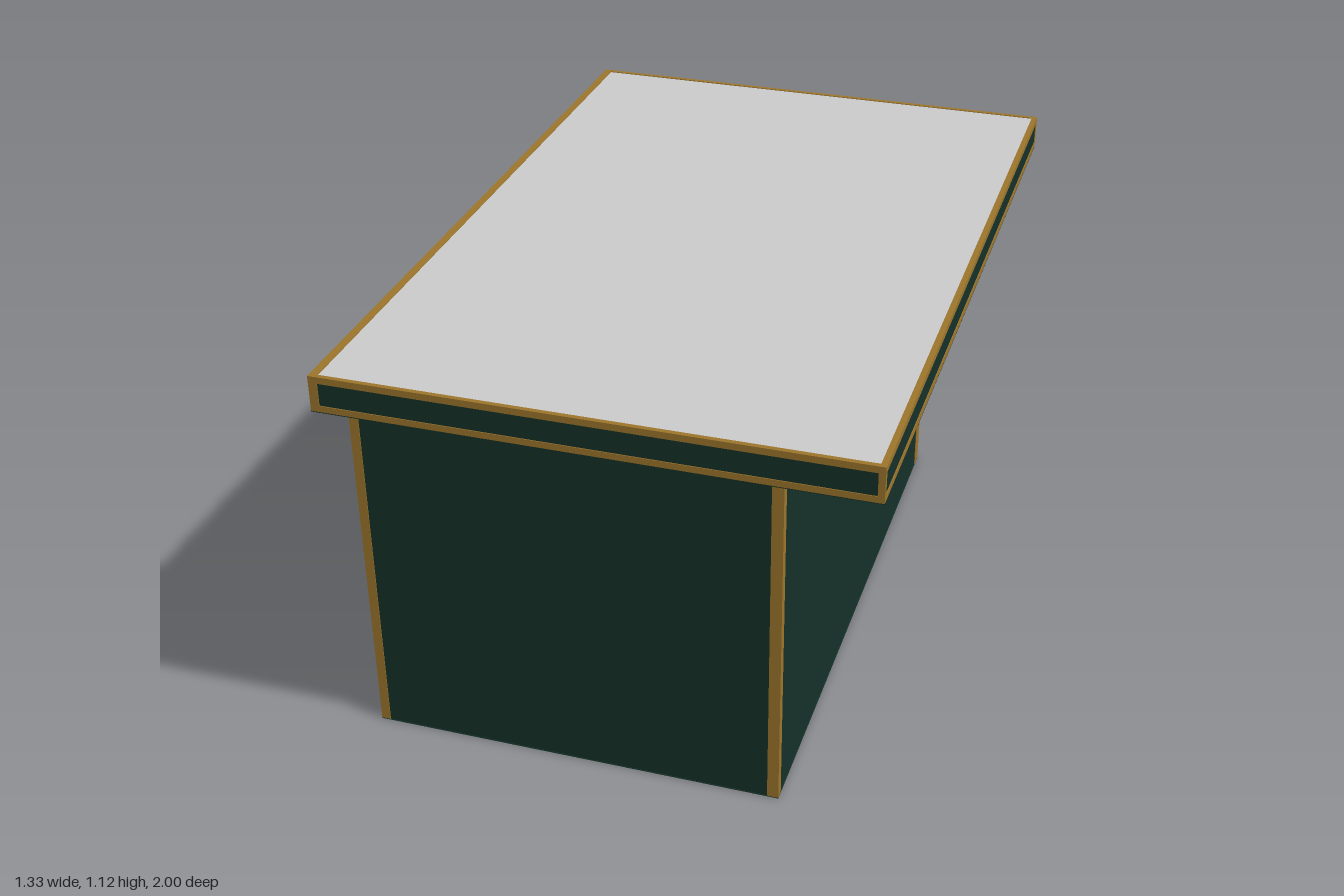
import * as THREE from 'three';

const green = new THREE.MeshStandardMaterial({ color: 0x143128 });
const gold = new THREE.MeshStandardMaterial({ color: 0x9c752c });
const grey = new THREE.MeshStandardMaterial({ color: 0xcccccc });

// Box given by its minimum and maximum corners
function block(parent, name, material, [x0, y0, z0], [x1, y1, z1]) {
  const mesh = new THREE.Mesh(new THREE.BoxGeometry(x1 - x0, y1 - y0, z1 - z0), material);
  mesh.position.set((x0 + x1) / 2, (y0 + y1) / 2, (z0 + z1) / 2);
  mesh.name = name;
  parent.add(mesh);
}

export function createModel() {
  const model = new THREE.Group();
  model.name = 'shelter';
  const e = 0.002; // how far panels sit behind the trim

  // Body: wall block, floor plate and four corner posts
  const body = new THREE.Group();
  body.name = 'body';
  model.add(body);
  const L = -0.667, R = 0.405, D = 0.833, H = 1.025;
  block(body, 'walls', green, [L + e, e, -D + e], [R - e, H, D - e]);
  block(body, 'floor', green, [L, 0, -D], [R, e, D]);
  for (const [xa, xb] of [[L, L + 0.024], [R - 0.029, R]]) {
    block(body, 'frontPost', gold, [xa, e, D - 0.023], [xb, H, D]);
    block(body, 'backPost', gold, [xa, e, -D], [xb, H, -D + 0.042]);
  }

  // Flat roof: overhanging on the front, back and left
  const roof = new THREE.Group();
  roof.name = 'roof';
  model.add(roof);
  const W = 0.667, Z = 1, T = 1.118;
  block(roof, 'soffit', green, [-W, H, -Z], [W, H + e, Z]);
  block(roof, 'fascia', green, [-W + e, H + e, -Z + e], [W - e, T - 0.01, Z - e]);
  block(roof, 'roofTop', grey, [-W + 0.01, T - 0.01, -Z + 0.006], [W - 0.006, T - e, Z - 0.006]);

  // Gold rails along the upper and lower fascia edges
  for (const [ya, yb] of [[H + e, H + 0.018], [T - 0.017, T]]) {
    for (const s of [-1, 1]) {
      const za = s > 0 ? Z - 0.012 : -Z;
      block(roof, 'endRail', gold, [-W, ya, za], [W, yb, za + 0.012]);
    }
    block(roof, 'rightRail', gold, [-W, ya, -Z], [-W + 0.02, yb, Z]);
    block(roof, 'leftRail', gold, [W - 0.014, ya, -Z], [W, yb, Z]);
  }

  // Gold uprights at the fascia corners
  for (const [xa, xb] of [[-W, -W + 0.022], [W - 0.016, W]]) {
    for (const za of [-Z, Z - 0.012]) {
      block(roof, 'cornerTrim', gold, [xa, H + e, za], [xb, T, za + 0.012]);
    }
  }
  return model;
}
